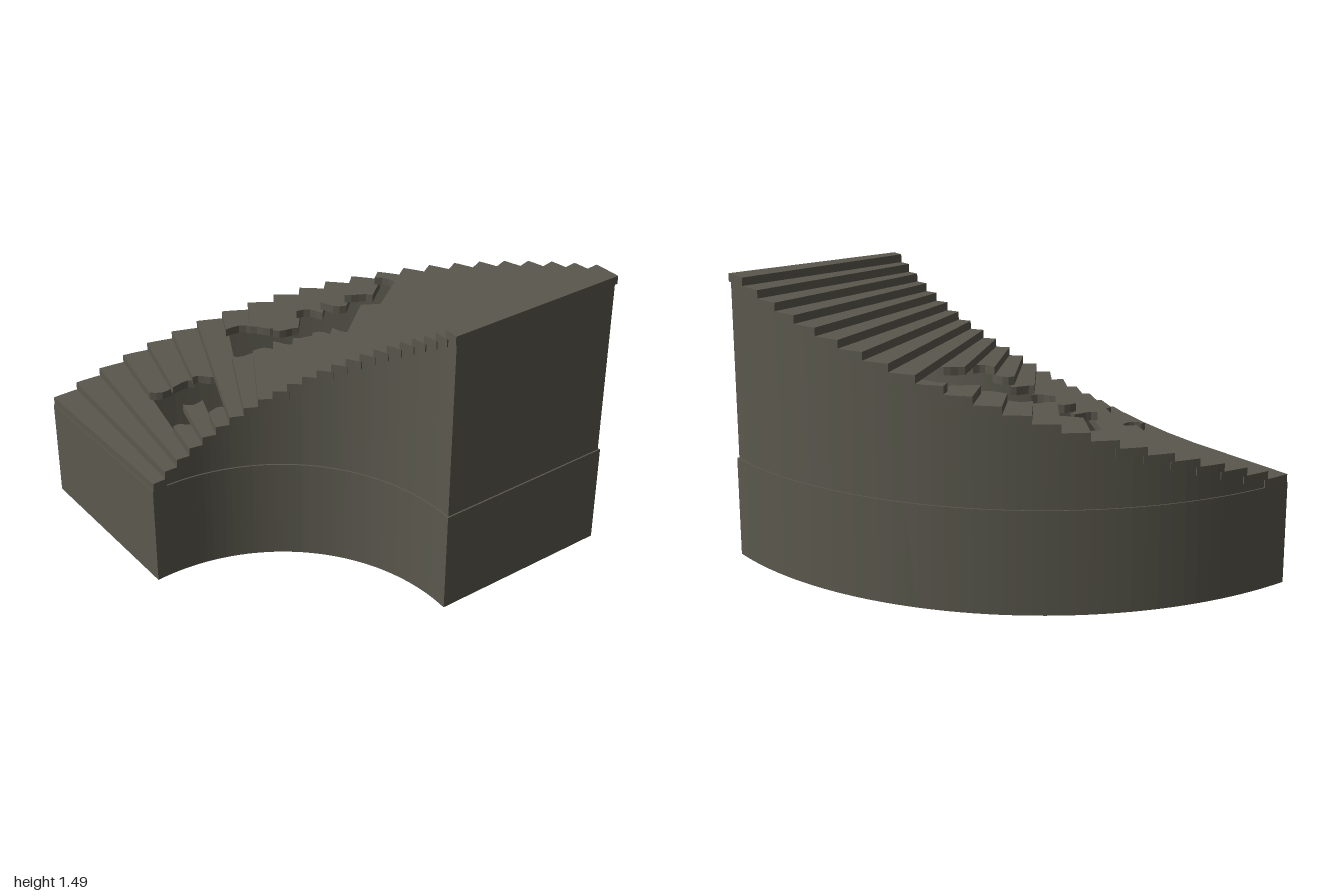
import * as THREE from 'three';

const C = 0.983;                // stair axis sits at x = C, z = C
const R_IN = 0.991, R_OUT = 1.976, BULGE = 0.038;
const STEPS = 23, PITCH = Math.PI / 2 / STEPS;
const BASE = 0.528, RISE = 0.042, LAP = 0.009;
const WALL = 0.008, PROUD = 0.008;

const stone = new THREE.MeshStandardMaterial({ color: 0x5a584d });
stone.name = 'weathered stone';

// Plan point at radius r and angle a (a = 0 is the foot); the curve swells at mid-turn
function plan(r, a) {
  const s = r + BULGE * Math.sin(2 * a);
  return new THREE.Vector2(C - s * Math.cos(a), -(C - s * Math.sin(a)));
}

// Points along an edge from angle a0 to a1; radius may vary with t
function edge(radius, a0, a1, n) {
  const pts = [];
  for (let i = 0; i <= n; i++) pts.push(plan(radius(i / n), a0 + (a1 - a0) * i / n));
  return pts;
}

// Upright prism between two plan edges
function prism(name, inner, outer, a0, a1, n, y, h) {
  const shape = new THREE.Shape([...edge(outer, a0, a1, n), ...edge(inner, a0, a1, n).reverse()]);
  const geo = new THREE.ExtrudeGeometry(shape, { depth: h, bevelEnabled: false });
  geo.rotateX(-Math.PI / 2);
  geo.translate(0, y, 0);
  const mesh = new THREE.Mesh(geo, stone);
  mesh.name = name;
  return mesh;
}

function box(name, x0, x1, y0, y1, z0, z1) {
  const mesh = new THREE.Mesh(new THREE.BoxGeometry(x1 - x0, y1 - y0, z1 - z0), stone);
  mesh.position.set((x0 + x1) / 2, (y0 + y1) / 2, (z0 + z1) / 2);
  mesh.name = name;
  return mesh;
}

// Broken treads: step index -> [radius where the gap starts, where it ends]
const GAPS = {
  3: [1.20, 1.55], 4: [1.31, 1.51], 5: [1.15, 1.47],
  7: [1.50, 1.79], 8: [1.47, 1.70], 9: [1.46, 1.60],
  10: [1.45, 1.72], 11: [1.42, 1.73], 12: [1.40, 1.78], 13: [1.62, 1.90],
};

export function createModel() {
  const model = new THREE.Group();
  model.name = 'ruinedCurvedStair';

  // Base band, slightly proud of the wall above
  const base = new THREE.Group();
  base.name = 'base';
  const quarter = Math.PI / 2;
  const wallOut = R_OUT - PROUD, wallIn = R_IN + PROUD;
  base.add(
    prism('outerBase', () => wallOut - WALL, () => R_OUT, 0, quarter, 46, 0, BASE),
    prism('innerBase', () => R_IN, () => wallIn + WALL, 0, quarter, 46, 0, BASE),
    box('frontBase', C - R_OUT, C - R_IN, 0, BASE, C - WALL, C + 0.005),
    box('sideBase', C - WALL, C + 0.008, 0, BASE, C - R_OUT, C - R_IN),
  );
  model.add(base);

  // Stepped side walls
  const walls = new THREE.Group();
  walls.name = 'sideWalls';
  for (let n = 1; n < STEPS; n++) {
    const a0 = n * PITCH, a1 = a0 + PITCH, h = n * RISE;
    walls.add(
      prism('outerWall', () => wallOut - WALL, () => wallOut, a0, a1, 2, BASE, h),
      prism('innerWall', () => wallIn, () => wallIn + WALL, a0, a1, 2, BASE, h),
    );
  }
  const top = BASE + (STEPS - 1) * RISE;
  walls.add(box('endWall', C - WALL, C, BASE, top, C - wallOut, C - wallIn));
  model.add(walls);

  // Treads, each lapping a little under the next
  const treads = new THREE.Group();
  treads.name = 'treads';
  const inner = () => R_IN, outer = () => R_OUT;
  for (let n = 0; n < STEPS; n++) {
    const a0 = n * PITCH;
    const a1 = n === STEPS - 1 ? quarter + 0.004 : a0 + PITCH + LAP;
    const y = BASE + n * RISE, gap = GAPS[n];
    if (!gap) {
      treads.add(prism('tread', inner, outer, a0, a1, 4, y, RISE));
      continue;
    }
    // Chipped ends
    const chip = (r, k) => (t) => r + 0.018 * Math.sin(t * 4 + n * 2.3 + k);
    treads.add(
      prism('brokenTreadInner', inner, chip(gap[0], 0), a0, a1, 4, y, RISE),
      prism('brokenTreadOuter', chip(gap[1], 2), outer, a0, a1, 4, y, RISE),
    );
  }
  model.add(treads);
  return model;
}
